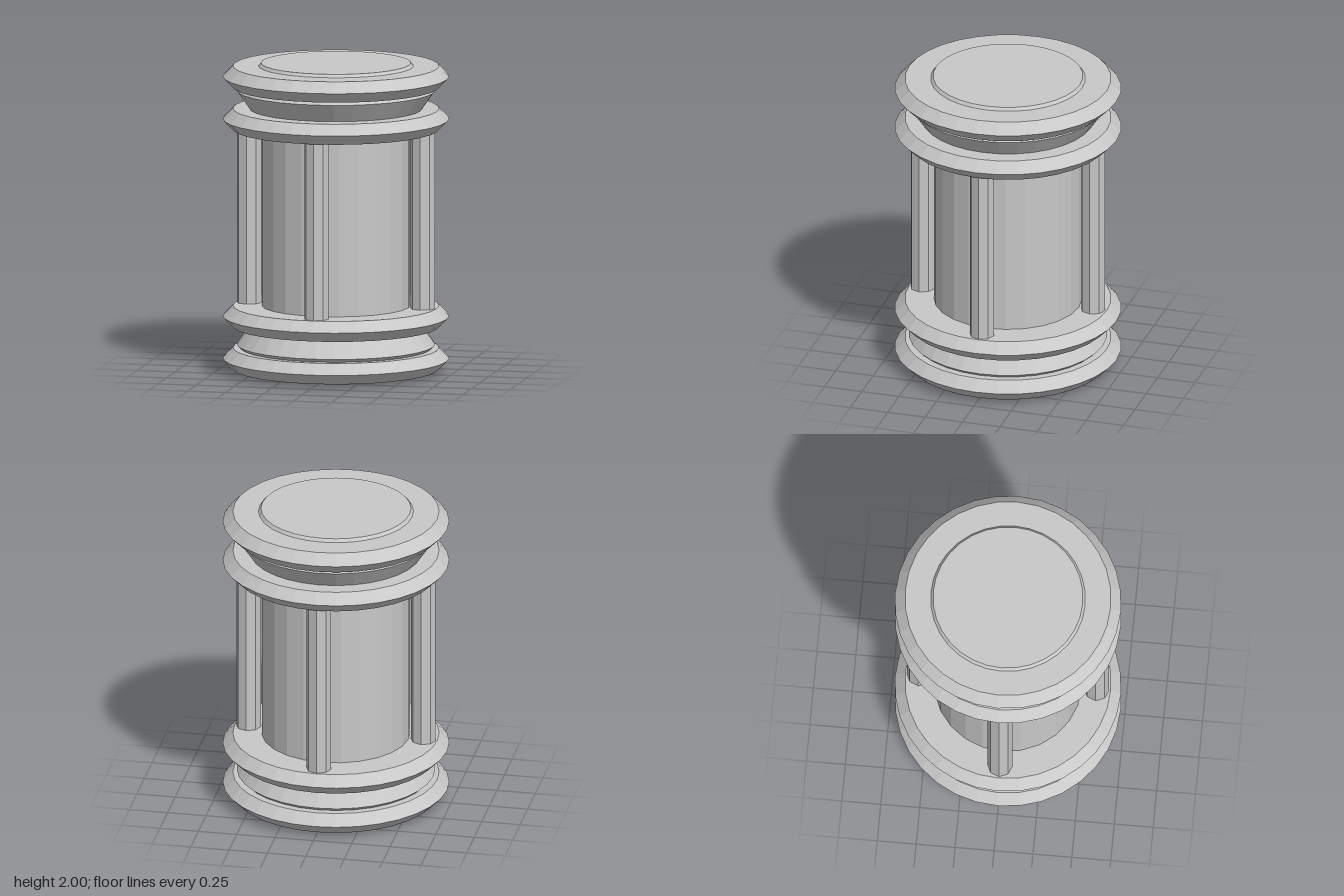
import * as THREE from 'three';

export function createModel() {
  const model = new THREE.Group();
  model.name = 'column';
  const grey = new THREE.MeshStandardMaterial({ color: 0xc8c8c8, flatShading: true });
  grey.name = 'plain grey';

  // Adds a closed turned part from [radius, height] pairs, listed bottom to top
  function turned(name, profile, parent) {
    const points = profile.map(([r, y]) => new THREE.Vector2(r, y));
    const mesh = new THREE.Mesh(new THREE.LatheGeometry(points, 32), grey);
    mesh.name = name;
    parent.add(mesh);
  }

  // The two ends mirror each other about mid height
  for (const end of ['top', 'bottom']) {
    const group = new THREE.Group();
    group.name = end + 'End';
    const place = (profile) => (end === 'top'
      ? profile
      : profile.map(([r, y]) => [r, 2 - y]).reverse());

    const ring = (y0, y1) => place(
      [[0, y0], [0.66, y0], [0.725, (y0 + y1) / 2], [0.66, y1], [0, y1]]);
    turned('innerRing', ring(1.572, 1.705), group);
    turned('collar', place([[0, 1.7], [0.55, 1.7], [0.635, 1.823], [0.61, 1.846], [0, 1.846]]), group);
    turned('outerRing', ring(1.845, 1.98), group);
    turned('endCap', place([[0, 1.975], [0.5, 1.975], [0.48, 2], [0, 2]]), group);
    model.add(group);
  }

  // Central drum
  const core = new THREE.Mesh(new THREE.CylinderGeometry(0.475, 0.475, 1.15, 24), grey);
  core.name = 'core';
  core.position.y = 1;
  model.add(core);

  // Four posts standing around the drum
  const postGeometry = new THREE.CylinderGeometry(0.08, 0.08, 1.15, 8);
  for (let i = 0; i < 4; i++) {
    const angle = (i * Math.PI) / 2;
    const post = new THREE.Mesh(postGeometry, grey);
    post.name = 'post' + (i + 1);
    post.position.set(0.57 * Math.cos(angle), 1, 0.57 * Math.sin(angle));
    model.add(post);
  }
  return model;
}
